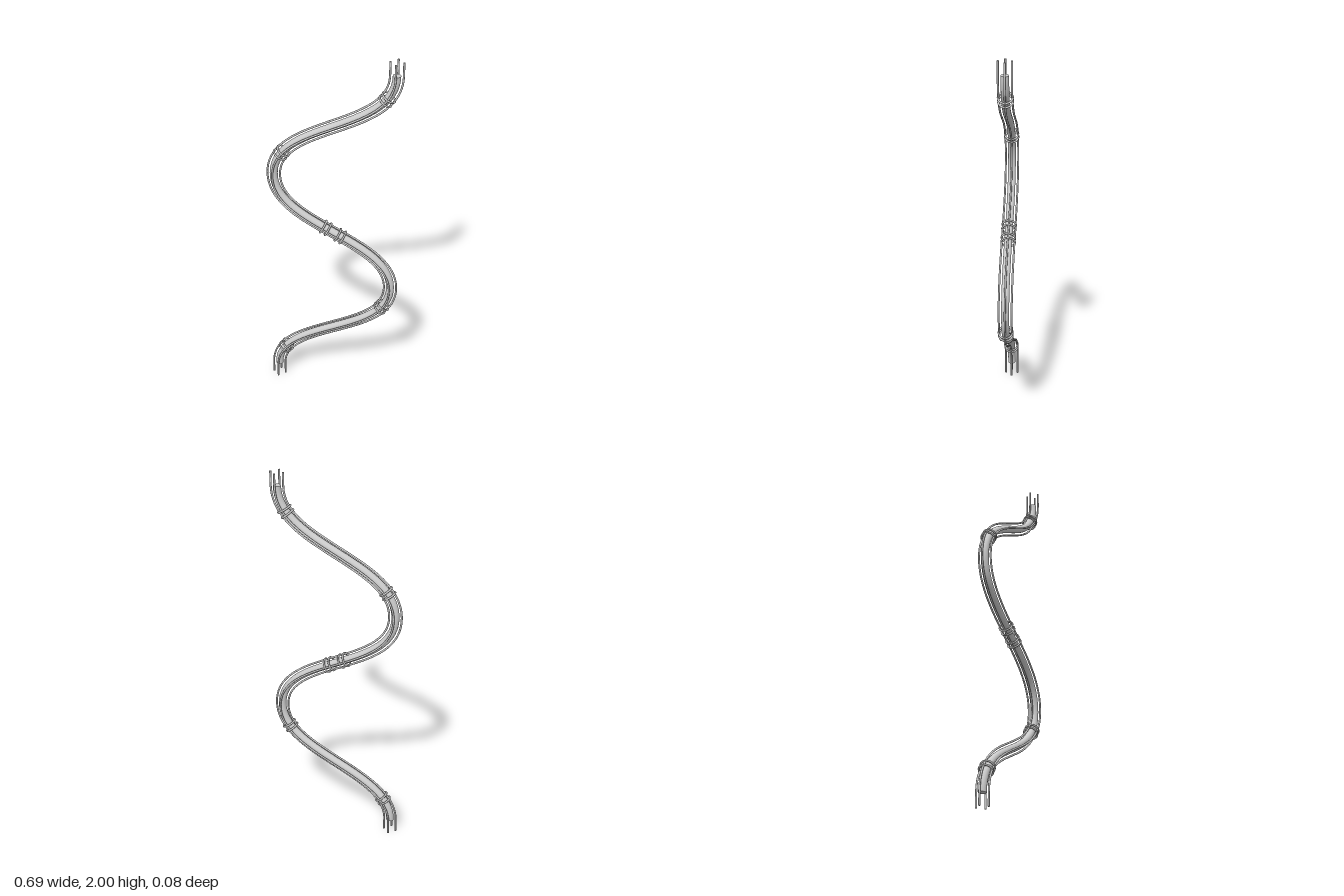
import * as THREE from 'three';

const AMP = 0.305;        // sideways reach of the bends
const Y0 = 0.07;          // height where the core starts
const STEP = 0.62;        // height of one bend
const ROD_OFFSET = 0.0325;
const Z = new THREE.Vector3(0, 0, 1);

const material = new THREE.MeshStandardMaterial({ color: 0xcccccc });

// S-shaped centre line made of three mirrored bends
function centreLine() {
  const path = new THREE.CurvePath();
  for (let i = 0; i < 3; i++) {
    const x = i % 2 ? AMP : -AMP;
    const y = Y0 + i * STEP;
    path.add(new THREE.CubicBezierCurve3(
      new THREE.Vector3(x, y, 0),
      new THREE.Vector3(x, y + STEP / 2, 0),
      new THREE.Vector3(-x, y + STEP / 2, 0),
      new THREE.Vector3(-x, y + STEP, 0)
    ));
  }
  path.curves.forEach((c) => { c.arcLengthDivisions = 400; });
  return path;
}

// Solid tube with flat end caps
function cappedTube(name, curve, radius, segments, sides) {
  const group = new THREE.Group();
  group.name = name;
  const body = new THREE.Mesh(new THREE.TubeGeometry(curve, segments, radius, sides), material);
  body.name = name + 'Body';
  group.add(body);
  for (const end of [0, 1]) {
    const cap = new THREE.Mesh(new THREE.CircleGeometry(radius, sides), material);
    cap.name = name + 'Cap';
    cap.position.copy(curve.getPointAt(end));
    const outward = curve.getTangentAt(end).multiplyScalar(end ? 1 : -1);
    cap.quaternion.setFromUnitVectors(Z, outward);
    group.add(cap);
  }
  return group;
}

export function createModel() {
  const model = new THREE.Group();
  model.name = 'curvedCable';

  const path = centreLine();
  const length = path.getLength();
  const samples = 120;
  const centre = [];
  const normals = [];
  for (let i = 0; i <= samples; i++) {
    centre.push(path.getPointAt(i / samples));
    const t = path.getTangentAt(i / samples);
    normals.push(new THREE.Vector3(t.y, -t.x, 0));
  }

  // Thick core
  model.add(cappedTube('core', new THREE.CatmullRomCurve3(centre), 0.02, 160, 24));

  // Four thin rods around the core, running past both of its ends
  const rods = { leftRod: [1, 0], rightRod: [-1, 0], frontRod: [0, 1], backRod: [0, -1] };
  for (const [name, [side, front]] of Object.entries(rods)) {
    const points = centre.map((p, i) => p.clone()
      .addScaledVector(normals[i], side * ROD_OFFSET)
      .addScaledVector(Z, front * ROD_OFFSET));
    const first = points[0];
    const last = points[samples];
    points.unshift(new THREE.Vector3(first.x, 0, first.z), new THREE.Vector3(first.x, Y0 / 2, first.z));
    points.push(new THREE.Vector3(last.x, 1 + 0.965, last.z), new THREE.Vector3(last.x, 2, last.z));
    model.add(cappedTube(name, new THREE.CatmullRomCurve3(points), 0.005, 180, 10));
  }

  // Pairs of binding rings, placed by distance along the centre line
  const bend = length / 3;
  const nearEnd = path.curves[0].getLengths(400)[Math.round(0.162 * 400)];
  const pairs = [
    nearEnd, bend - nearEnd,
    length / 2 - 0.043, length / 2 + 0.043,
    length - bend + nearEnd, length - nearEnd
  ];
  const ringGeometry = new THREE.TorusGeometry(0.035, 0.005, 10, 32);
  for (const at of pairs) {
    const pair = new THREE.Group();
    pair.name = 'ringPair';
    for (const shift of [-0.014, 0.014]) {
      const u = (at + shift) / length;
      const ring = new THREE.Mesh(ringGeometry, material);
      ring.name = 'ring';
      ring.position.copy(path.getPointAt(u));
      ring.quaternion.setFromUnitVectors(Z, path.getTangentAt(u));
      pair.add(ring);
    }
    model.add(pair);
  }
  return model;
}
